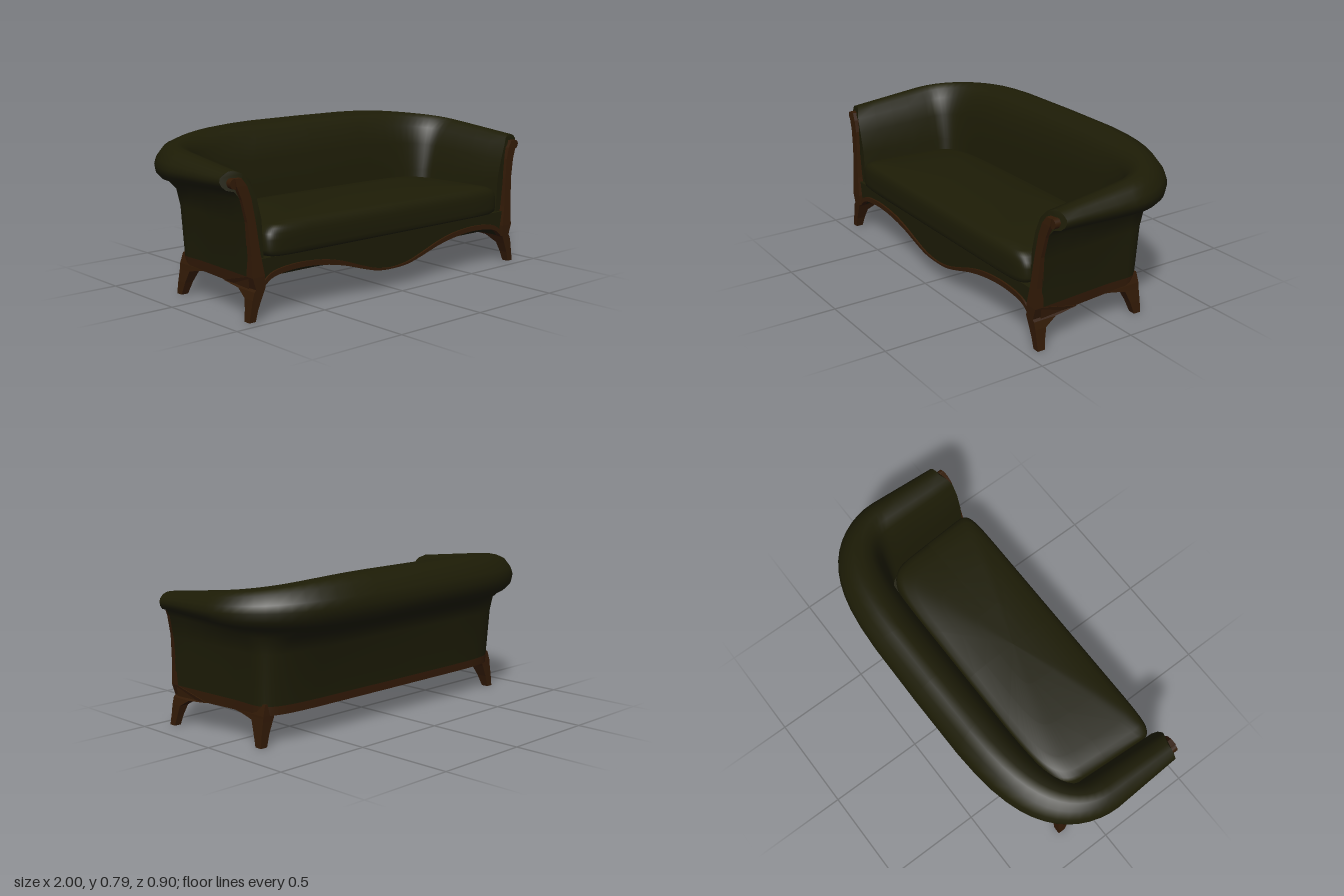
import * as THREE from 'three';

const fabric = new THREE.MeshStandardMaterial({ color: 0x1d1c06, side: THREE.DoubleSide });
fabric.name = 'dark olive fabric';
const wood = new THREE.MeshStandardMaterial({ color: 0x321a06, side: THREE.DoubleSide });
wood.name = 'dark brown wood';

function mesh(name, geometry, material) {
  const m = new THREE.Mesh(geometry, material);
  m.name = name;
  return m;
}

// Skin a grid of points: rows of equal length
function skin(rows) {
  const w = rows[0].length, pos = rows.flat(2), index = [];
  for (let r = 0; r < rows.length - 1; r++) {
    for (let c = 0; c < w - 1; c++) {
      const a = r * w + c, b = a + 1, d = a + w, e = d + 1;
      index.push(a, b, d, b, e, d);
    }
  }
  const g = new THREE.BufferGeometry();
  g.setAttribute('position', new THREE.Float32BufferAttribute(pos, 3));
  g.setIndex(index);
  g.computeVertexNormals();
  return g;
}

// Unit superellipse point with separate squareness along x and z
function superPoint(angle, p, q) {
  const c = Math.cos(angle), s = Math.sin(angle);
  return [Math.sign(c) * Math.abs(c) ** (2 / p), Math.sign(s) * Math.abs(s) ** (2 / q)];
}

// U-shaped horizontal line: left arm front, round the back, right arm front
function uLine([xf, xm, zb, yf, yb, p, q, zf]) {
  const half = [];
  const add = (x, z) => {
    const f = (zf - z) / (zf - zb);
    half.push([x, yf + (yb - yf) * (0.75 * f + 0.25 * f ** 12), z]);
  };
  for (let i = 0; i < 4; i++) {
    const t = i / 4;
    add(xf + (xm - xf) * t, zf * (1 - t));
  }
  for (let i = 0; i < 14; i++) {
    const [c, s] = superPoint((i / 14) * Math.PI / 2, p, q);
    add(xm * c, zb * s);
  }
  const other = half.slice().reverse().map(([x, y, z]) => [-x, y, z]);
  return [...half, [0, yb, zb], ...other];
}

// Box-section member through [y, x0, x1, z0, z1] sections
function member(sections, side) {
  const pos = [];
  const ring = ([y, x0, x1, z0, z1]) => [[x0, y, z0], [x0, y, z1], [x1, y, z1], [x1, y, z0]]
    .map(([x, yy, z]) => [x * side, yy, z]);
  const quad = (a, b, c, d) => side > 0
    ? pos.push(...a, ...b, ...c, ...a, ...c, ...d)
    : pos.push(...a, ...c, ...b, ...a, ...d, ...c);
  const rings = sections.map(ring);
  for (let i = 0; i < rings.length - 1; i++) {
    for (let k = 0; k < 4; k++) {
      const j = (k + 1) % 4;
      quad(rings[i][k], rings[i][j], rings[i + 1][j], rings[i + 1][k]);
    }
  }
  const top = rings[rings.length - 1], low = rings[0];
  quad(top[0], top[1], top[2], top[3]);
  quad(low[3], low[2], low[1], low[0]);
  const g = new THREE.BufferGeometry();
  g.setAttribute('position', new THREE.Float32BufferAttribute(pos, 3));
  g.computeVertexNormals();
  return g;
}

export function createModel() {
  const sofa = new THREE.Group();
  sofa.name = 'sofa';

  // Wrap-around arms and back: [xFront, xMid, zBack, yFront, yBack, squareX, squareZ, zFront]
  const shell = [
    [0.78, 0.745, -0.135, 0.26, 0.26, 7, 4, 0.41],
    [0.79, 0.765, -0.155, 0.45, 0.45, 7, 3.5, 0.41],
    [0.815, 0.79, -0.175, 0.55, 0.6, 6, 3, 0.41],
    [0.845, 0.82, -0.205, 0.625, 0.7, 5, 2.5, 0.405],
    [0.872, 0.855, -0.25, 0.66, 0.757, 4.5, 2.2, 0.39],
    [0.91, 0.9, -0.31, 0.675, 0.785, 4, 2, 0.37],
    [0.937, 0.935, -0.355, 0.673, 0.775, 4, 2, 0.37],
    [0.96, 0.965, -0.4, 0.664, 0.753, 4, 2, 0.368],
    [0.978, 0.99, -0.438, 0.648, 0.695, 4, 2, 0.365],
    [0.982, 1.0, -0.45, 0.63, 0.65, 4, 2, 0.365],
    [0.975, 0.994, -0.44, 0.61, 0.595, 4, 2, 0.37],
    [0.957, 0.965, -0.405, 0.593, 0.56, 4, 2.2, 0.38],
    [0.925, 0.915, -0.335, 0.585, 0.538, 5, 3, 0.395],
    [0.9, 0.87, -0.275, 0.55, 0.5, 6, 4, 0.405],
    [0.876, 0.84, -0.24, 0.43, 0.43, 8, 6, 0.41],
    [0.866, 0.828, -0.225, 0.2, 0.185, 8, 6, 0.41],
  ].map(uLine);
  sofa.add(mesh('rolledBackAndArms', skin(shell), fabric));

  // Arm front panels
  const outline = shell.map((row) => row[0]);
  const faces = THREE.ShapeUtils.triangulateShape(outline.map(([x, y]) => new THREE.Vector2(x, y)), []);
  for (const s of [1, -1]) {
    const g = new THREE.BufferGeometry();
    g.setAttribute('position', new THREE.Float32BufferAttribute(outline.flatMap(([x, y, z]) => [x * s, y, z]), 3));
    g.setIndex(faces.flatMap(([a, b, c]) => (s > 0 ? [c, b, a] : [a, b, c])));
    g.computeVertexNormals();
    sofa.add(mesh('armFront', g, fabric));
  }

  // Wooden rail under the arms and back
  const rail = [
    [0.866, 0.828, -0.225, 0.2, 0.185, 8, 6, 0.41],
    [0.862, 0.825, -0.225, 0.145, 0.145, 8, 6, 0.41],
    [0.82, 0.785, -0.185, 0.145, 0.145, 8, 6, 0.4],
  ].map(uLine);
  sofa.add(mesh('outerRail', skin(rail.slice(0, 2)), wood), mesh('railUnderside', skin(rail.slice(1)), wood));

  // Seat base and underside board
  const base = mesh('seatBase', new THREE.BoxGeometry(1.57, 0.122, 0.48), fabric);
  base.position.set(0, 0.209, 0.06);
  const board = mesh('undersideBoard', new THREE.BoxGeometry(1.44, 0.006, 0.42), wood);
  board.position.set(0, 0.149, 0.05);
  sofa.add(base, board);

  // Serpentine front apron with a wooden edge
  const halfWave = [[0.1, 0.107], [0.2, 0.132], [0.32, 0.168], [0.45, 0.193], [0.58, 0.203], [0.7, 0.195], [0.77, 0.172], [0.82, 0.12]];
  const wave = new THREE.SplineCurve([
    ...halfWave.slice().reverse().map(([x, y]) => [-x, y]), [0, 0.101], ...halfWave,
  ].map(([x, y]) => new THREE.Vector2(x, y))).getPoints(64);
  const apronShape = new THREE.Shape([...wave, new THREE.Vector2(0.82, 0.275), new THREE.Vector2(-0.82, 0.275)]);
  const apron = mesh('frontApron', new THREE.ExtrudeGeometry(apronShape, { depth: 0.037, bevelEnabled: false }), fabric);
  apron.position.z = 0.389;
  const upper = wave.map((p) => new THREE.Vector2(p.x, p.y + 0.006 + 0.018 * Math.min(1, Math.abs(p.x) / 0.4)));
  const trimShape = new THREE.Shape([...wave.map((p) => new THREE.Vector2(p.x, p.y - 0.001)), ...upper.reverse()]);
  const trim = mesh('apronTrim', new THREE.ExtrudeGeometry(trimShape, { depth: 0.03, bevelEnabled: false }), wood);
  trim.position.z = 0.405;
  sofa.add(apron, trim);

  // Fabric lining sloping from the apron edge back to the seat base
  const lining = [wave.map((p) => [p.x, p.y, 0.4]), wave.map((p) => [p.x, 0.147, 0.295])];
  sofa.add(mesh('apronLining', skin(lining), fabric));

  // Crowned seat cushion, narrowing to the back: [scale, y] rows
  const ringAt = ([scale, y]) => {
    const pts = [];
    for (let i = 0; i <= 64; i++) {
      const angle = (i / 64) * Math.PI * 2, n = Math.sin(angle) > 0 ? 14 : 6;
      const [c, s] = superPoint(angle, n, n);
      pts.push([(0.76 + 0.02 * s) * scale * c, y, 0.155 + 0.294 * scale * s]);
    }
    return pts;
  };
  const cushion = [[0, 0.275], [0.97, 0.275], [0.995, 0.285], [1, 0.305], [1, 0.35], [0.992, 0.378],
    [0.972, 0.4], [0.93, 0.415], [0.83, 0.429], [0.6, 0.443], [0.3, 0.452], [0, 0.455]].map(ringAt);
  sofa.add(mesh('seatCushion', skin(cushion.reverse()), fabric));

  // Legs and scrolled arm posts, mirrored
  for (const s of [1, -1]) {
    sofa.add(mesh('frontLegAndPost', member([
      [0, 0.853, 0.888, 0.405, 0.442],
      [0.05, 0.84, 0.878, 0.396, 0.443],
      [0.1, 0.82, 0.87, 0.385, 0.444],
      [0.135, 0.805, 0.86, 0.325, 0.445],
      [0.145, 0.8, 0.85, 0.2, 0.445],
      [0.2, 0.8, 0.868, 0.4, 0.445],
      [0.3, 0.818, 0.869, 0.405, 0.438],
      [0.45, 0.835, 0.88, 0.407, 0.427],
      [0.55, 0.85, 0.902, 0.402, 0.419],
      [0.61, 0.87, 0.925, 0.39, 0.415],
      [0.645, 0.895, 0.93, 0.375, 0.41],
    ], s), wood));
    const scroll = mesh('armScroll', new THREE.CylinderGeometry(0.024, 0.024, 0.03, 14), wood);
    scroll.rotation.x = Math.PI / 2;
    scroll.position.set(0.93 * s, 0.622, 0.391);
    sofa.add(scroll);
    sofa.add(mesh('backLeg', member([
      [0, 0.808, 0.845, -0.188, -0.15],
      [0.06, 0.792, 0.838, -0.187, -0.13],
      [0.12, 0.768, 0.828, -0.186, -0.105],
      [0.137, 0.76, 0.826, -0.186, -0.035],
      [0.148, 0.76, 0.825, -0.186, 0.04],
      [0.2, 0.765, 0.81, -0.182, -0.08],
    ], s), wood));
  }
  return sofa;
}
